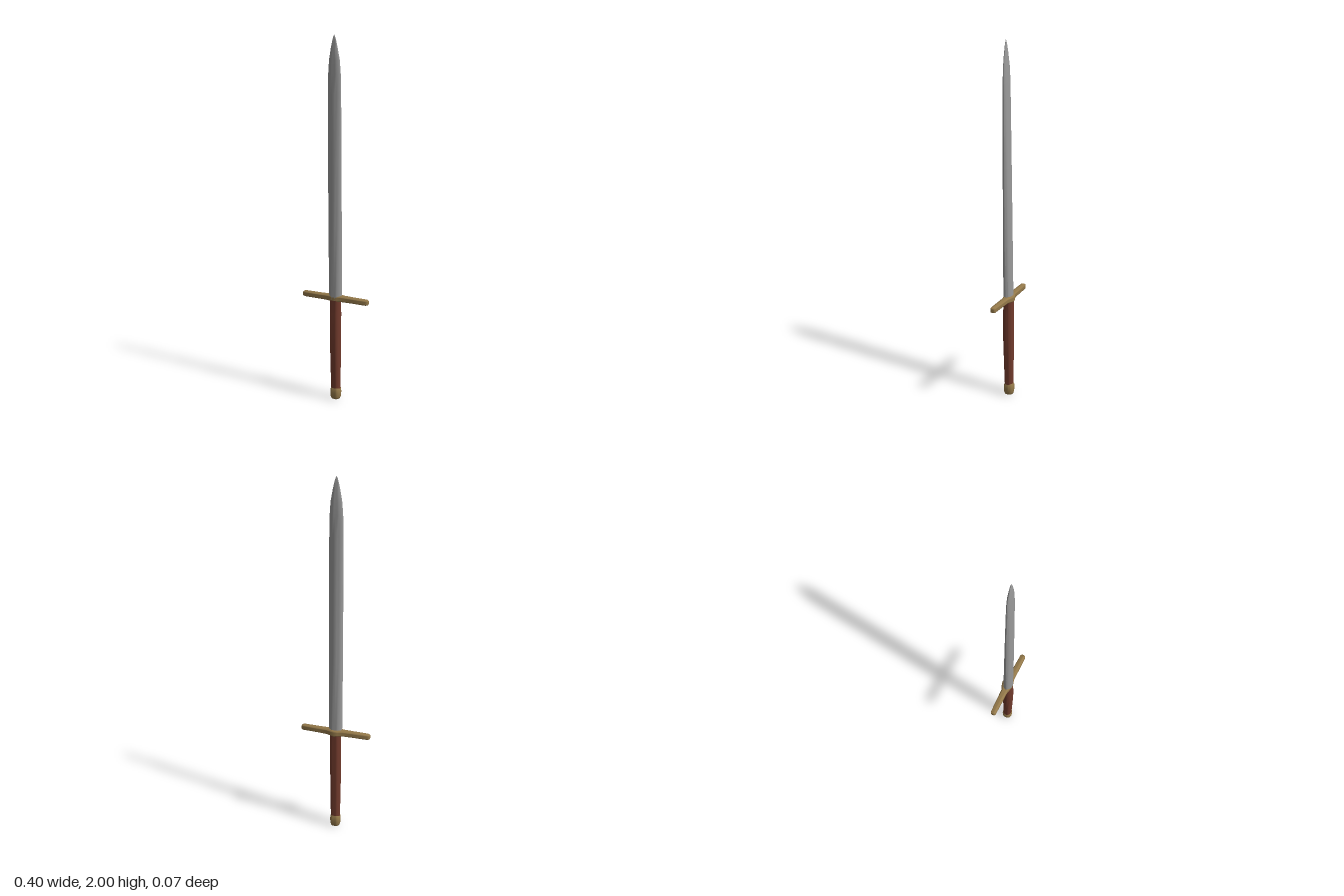
import * as THREE from 'three';
import { toCreasedNormals } from 'three/addons/utils/BufferGeometryUtils.js';

// Loft along y. Each ring is [y, halfWidth, zFront, zBack];
// power 1 is an ellipse, below 1 is boxier, above 1 is more pointed.
function loft(rings, sides, powerX, powerZ, crease) {
  const pos = [], index = [];
  const bend = (v, p) => Math.sign(v) * Math.pow(Math.abs(v), p);
  for (const [y, w, front, back] of rings) {
    const mid = (front + back) / 2, depth = (front - back) / 2;
    for (let i = 0; i < sides; i++) {
      const a = (i / sides) * Math.PI * 2;
      pos.push(w * bend(Math.cos(a), powerX), y, mid + depth * bend(Math.sin(a), powerZ));
    }
  }
  const last = rings.length - 1;
  for (let r = 0; r < last; r++) {
    for (let i = 0; i < sides; i++) {
      const j = (i + 1) % sides, a = r * sides, b = a + sides;
      index.push(a + i, b + i, a + j, a + j, b + i, b + j);
    }
  }
  // End caps
  for (let i = 1; i < sides - 1; i++) {
    index.push(0, i, i + 1);
    index.push(last * sides, last * sides + i + 1, last * sides + i);
  }
  const geometry = new THREE.BufferGeometry();
  geometry.setAttribute('position', new THREE.Float32BufferAttribute(pos, 3));
  geometry.setIndex(index);
  return toCreasedNormals(geometry, crease);
}

export function createModel() {
  const steel = new THREE.MeshStandardMaterial({ name: 'steel', color: 0x9a9a9a });
  const brass = new THREE.MeshStandardMaterial({ name: 'brass', color: 0x94794a });
  const leather = new THREE.MeshStandardMaterial({ name: 'leather', color: 0x703a2c });

  const sword = new THREE.Group();
  sword.name = 'sword';
  const add = (name, geometry, material) => {
    const mesh = new THREE.Mesh(geometry, material);
    mesh.name = name;
    sword.add(mesh);
    return mesh;
  };

  // Blade: lens section, thinning from the back towards the tip
  add('blade', loft([
    [0.58, 0.038, 0.03, -0.022],
    [1.0, 0.04, 0.031, -0.015],
    [1.4, 0.04, 0.031, -0.008],
    [1.7, 0.039, 0.03, -0.002],
    [1.8, 0.037, 0.029, 0.0],
    [1.87, 0.032, 0.027, 0.003],
    [1.93, 0.021, 0.025, 0.008],
    [1.97, 0.012, 0.022, 0.012],
    [1.99, 0.006, 0.02, 0.015],
    [2.0, 0.001, 0.018, 0.017],
  ], 24, 1, 1.3, 0.9), steel);

  // Crossguard: lofted on its side, with a swell at the centre
  const guardHalf = [[0.2, 0.008, 0.012, -0.005], [0.197, 0.013, 0.016, -0.009],
    [0.188, 0.016, 0.019, -0.012], [0.1, 0.016, 0.02, -0.015],
    [0.045, 0.017, 0.02, -0.017], [0.02, 0.019, 0.027, -0.028]];
  const guardRings = [
    ...guardHalf.map(([x, ...rest]) => [-x, ...rest]),
    [0, 0.021, 0.031, -0.034],
    ...guardHalf.slice().reverse(),
  ];
  const guard = add('crossguard', loft(guardRings, 24, 0.6, 0.6, 0.9), brass);
  guard.rotation.z = Math.PI / 2;
  guard.position.y = 0.587;

  // Grip: oval, fuller in the upper half
  add('grip', loft([
    [0.06, 0.026, 0.023, -0.024],
    [0.2, 0.028, 0.028, -0.025],
    [0.33, 0.03, 0.032, -0.026],
    [0.42, 0.031, 0.033, -0.026],
    [0.5, 0.031, 0.032, -0.026],
    [0.58, 0.03, 0.029, -0.025],
  ], 24, 0.9, 0.9, 0.9), leather);

  // Pommel: rounded knob
  add('pommel', loft([
    [0, 0.015, 0.014, -0.015],
    [0.004, 0.023, 0.022, -0.023],
    [0.015, 0.027, 0.026, -0.027],
    [0.04, 0.029, 0.027, -0.029],
    [0.06, 0.028, 0.026, -0.028],
    [0.07, 0.024, 0.022, -0.024],
  ], 24, 0.8, 0.8, 0.9), brass);

  return sword;
}
